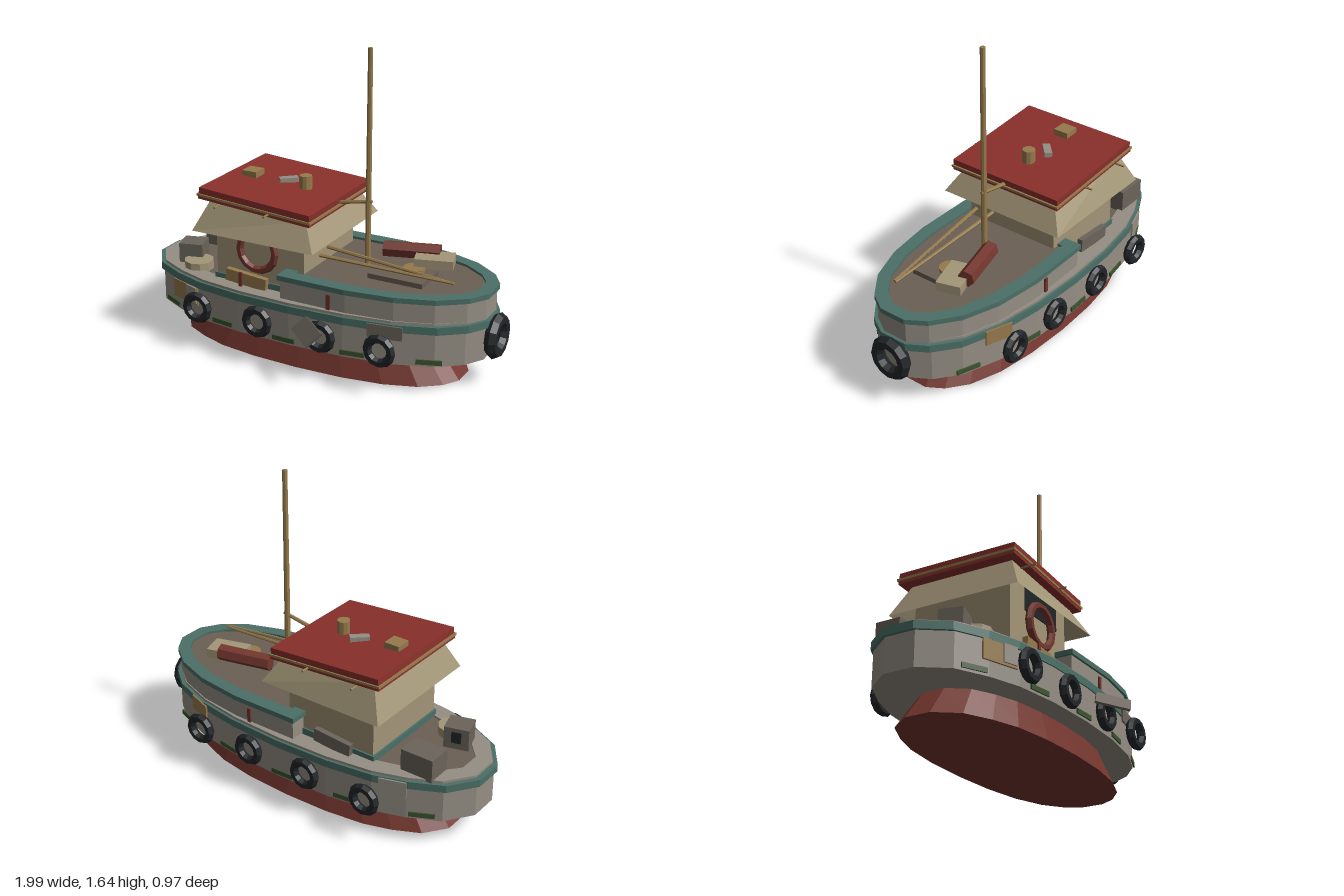
import * as THREE from 'three';

const ZC = -0.053; // centre line of the boat
const mat = (name, color, side = THREE.FrontSide) => {
  const m = new THREE.MeshStandardMaterial({ color, side });
  m.name = name;
  return m;
};

// [x, half width] stations, stern to bow
const HULL = [[-0.98, 0.08], [-0.88, 0.22], [-0.72, 0.3], [-0.55, 0.355], [-0.3, 0.388], [0, 0.397],
  [0.3, 0.382], [0.55, 0.342], [0.75, 0.27], [0.87, 0.175], [0.93, 0.075]];
const FORE = [[-0.07, 0.358], [0.3, 0.36], [0.55, 0.328], [0.74, 0.262], [0.87, 0.165], [0.93, 0.07]];

// Half width of the hull and its slope at x
function station(x) {
  let i = 0;
  while (i < HULL.length - 2 && HULL[i + 1][0] < x) i++;
  const [a, b] = [HULL[i], HULL[i + 1]];
  const slope = (b[1] - a[1]) / (b[0] - a[0]);
  return { half: a[1] + slope * (x - a[0]), slope };
}

// Closed plan outline, scaled about its middle
function outline(stations, sx = 1, sz = 1, dx = 0) {
  const mid = (stations[0][0] + stations.at(-1)[0]) / 2;
  const side = (s) => stations.map(([x, h]) => new THREE.Vector2(mid + dx + (x - mid) * sx, s * h * sz));
  return [...side(-1), ...side(1).reverse()];
}

// Plan outline raised from y0 to y1, optionally with a hole
function slab(points, y0, y1, hole) {
  const shape = new THREE.Shape(points);
  if (hole) shape.holes.push(new THREE.Path(hole));
  return new THREE.ExtrudeGeometry(shape, { depth: y1 - y0, bevelEnabled: false })
    .rotateX(-Math.PI / 2).translate(0, y0, ZC);
}

function flat(geo) {
  const g = geo.index ? geo.toNonIndexed() : geo;
  g.computeVertexNormals();
  return g;
}

export function createModel() {
  const boat = new THREE.Group();
  boat.name = 'boat';
  const hullGrey = mat('hullGrey', 0x958e84);
  const teal = mat('tealTrim', 0x4b7067);
  const red = mat('roofRed', 0x8a302b);
  const rust = mat('rustRed', 0x74362e);
  const deckBrown = mat('deckBrown', 0x6a6054);
  const cream = mat('cabinCream', 0xa39678, THREE.DoubleSide);
  const wood = mat('wood', 0x967a4c);
  const black = mat('rubberBlack', 0x212528);
  const green = mat('weedGreen', 0x3c5430);
  const crateGrey = mat('crateGrey', 0x6b645b);

  const add = (name, geo, material, parent = boat) => {
    const m = new THREE.Mesh(geo, material);
    m.name = name;
    parent.add(m);
    return m;
  };
  const box = (name, size, pos, material, yaw = 0, parent = boat) => {
    const m = add(name, new THREE.BoxGeometry(...size), material, parent);
    m.position.set(...pos);
    m.rotation.y = yaw;
    return m;
  };
  const rod = (name, a, b, r0, r1, material, sides = 6) => {
    const p = new THREE.Vector3(...a), q = new THREE.Vector3(...b);
    const m = add(name, flat(new THREE.CylinderGeometry(r1, r0, p.distanceTo(q), sides)), material);
    m.position.copy(p).lerp(q, 0.5);
    m.quaternion.setFromUnitVectors(new THREE.Vector3(0, 1, 0), q.sub(p).normalize());
    return m;
  };
  // Plate lying along the side of the hull
  const hullPlate = (name, x, side, w, h, y, material, out = 0.003) => {
    const { half, slope } = station(x);
    box(name, [w, h, 0.009], [x, y, ZC + side * (half + out)], material, -Math.atan(side * slope));
  };

  // Flared underwater hull
  const keel = slab(outline(HULL), 0, 0.157);
  const kp = keel.attributes.position;
  for (let i = 0; i < kp.count; i++) {
    const low = kp.getY(i) < 0.05;
    kp.setX(i, -0.015 + (kp.getX(i) + 0.025) * (low ? 0.853 : 0.725));
    kp.setZ(i, ZC + (kp.getZ(i) - ZC) * (low ? 0.835 : 0.7));
  }
  add('lowerHull', flat(keel), rust);

  // Main hull, rubbing strake, gunwale and aft deck
  add('hull', slab(outline(HULL), 0.155, 0.362), hullGrey);
  add('strake', slab(outline(HULL, 1.018, 1.018), 0.33, 0.37), teal);
  add('gunwale', slab(outline(HULL, 0.99, 0.985), 0.365, 0.383, outline(HULL, 0.9, 0.74)), hullGrey);
  add('aftDeck', slab(outline(HULL, 0.91, 0.76), 0.365, 0.373), deckBrown);

  // Raised foredeck with its rail
  add('forecastle', slab(outline(FORE), 0.365, 0.487), hullGrey);
  add('foredeck', slab(outline(FORE, 0.96, 0.9), 0.48, 0.497), deckBrown);
  add('foredeckRail', slab(outline(FORE, 1.025, 1.035), 0.483, 0.51, outline(FORE, 0.89, 0.83)), teal);

  // Cabin walls, base strip and windows
  box('cabin', [0.52, 0.43, 0.54], [-0.24, 0.585, ZC], cream);
  box('cabinBase', [0.54, 0.035, 0.56], [-0.24, 0.392, ZC], teal);
  box('frontWindow', [0.008, 0.13, 0.4], [0.021, 0.69, ZC], black);
  for (const s of [-1, 1]) box('sideWindow', [0.3, 0.13, 0.008], [-0.22, 0.69, ZC + s * 0.271], black);

  // Flared open skirt under the roof
  const skirt = new THREE.BoxGeometry(1, 1, 1);
  skirt.setIndex([...skirt.index.array].filter((_, i) => i < 12 || i >= 24));
  const sp = skirt.attributes.position;
  for (let i = 0; i < sp.count; i++) {
    const top = sp.getY(i) > 0, fore = sp.getX(i) > 0, s = Math.sign(sp.getZ(i));
    if (top) sp.setXYZ(i, fore ? 0.04 : -0.51, fore ? 0.79 : 0.83, ZC + s * 0.285);
    else sp.setXYZ(i, fore ? 0.12 : -0.59, 0.655, ZC + s * 0.365);
  }
  add('cabinSkirt', flat(skirt), cream);

  // Tilted layered roof
  const roof = new THREE.Group();
  roof.name = 'roof';
  roof.position.set(-0.24, 0.837, ZC);
  roof.rotation.z = -0.068;
  boat.add(roof);
  box('roofTop', [0.65, 0.034, 0.66], [0, 0.01, 0], red, 0, roof);
  box('roofBatten', [0.668, 0.012, 0.675], [0, -0.012, 0], wood, 0, roof);
  box('roofBase', [0.655, 0.018, 0.665], [0, -0.025, 0], red, 0, roof);
  for (const x of [-0.44, -0.15]) rod('roofBeam', [x, 0.81, 0.325], [x, 0.81, -0.43], 0.006, 0.006, wood);
  box('roofHatch', [0.085, 0.04, 0.085], [-0.44, 0.888, -0.055], wood);
  box('roofVent', [0.1, 0.03, 0.04], [-0.24, 0.872, -0.085], hullGrey, 0.75);
  rod('chimney', [-0.12, 0.84, -0.055], [-0.12, 0.925, -0.055], 0.034, 0.034, wood, 10);

  // Mast, boom and loose poles
  rod('mast', [0.245, 0.495, ZC], [0.245, 1.637, ZC], 0.016, 0.013, wood, 8);
  rod('boom', [0.06, 0.81, ZC], [0.265, 0.847, ZC], 0.011, 0.009, wood);
  rod('pole', [0.06, 0.596, 0.04], [0.78, 0.548, 0.07], 0.01, 0.007, wood);
  rod('pole', [0.07, 0.586, 0.14], [0.78, 0.552, 0.076], 0.01, 0.007, wood);

  // Foredeck cargo
  box('deckHatch', [0.3, 0.03, 0.2], [0.47, 0.508, 0], deckBrown);
  rod('ropeCoil', [0.51, 0.5, -0.05], [0.51, 0.54, -0.05], 0.058, 0.058, wood, 12);
  rod('barrel', [0.297, 0.572, -0.135], [0.583, 0.577, -0.21], 0.044, 0.044, rust, 6);
  box('foredeckCrate', [0.2, 0.05, 0.13], [0.58, 0.555, -0.145], cream, 0.29);

  // Tyre fenders along the sides and at the bow
  const tyre = flat(new THREE.TorusGeometry(0.0645, 0.0235, 6, 12));
  for (const x of [-0.545, -0.18, 0.185, 0.515]) {
    for (const s of [-1, 1]) add('sideTyre', tyre, black).position.set(x, 0.247, ZC + s * 0.408);
  }
  const bowTyre = add('bowTyre', flat(new THREE.TorusGeometry(0.086, 0.034, 6, 12)), black);
  bowTyre.position.set(0.966, 0.262, ZC);
  bowTyre.rotation.y = Math.PI / 2;

  // Life ring on the cabin wall
  add('lifeRing', flat(new THREE.TorusGeometry(0.105, 0.021, 6, 14)), rust).position.set(-0.245, 0.58, 0.232);

  // Weed marks and repair patches on the hull
  for (const s of [-1, 1]) {
    for (const x of [-0.79, -0.41, -0.03, 0.35, 0.725]) hullPlate('weedMark', x, s, 0.13, 0.025, 0.18, green);
  }
  hullPlate('woodPatch', -0.67, 1, 0.2, 0.1, 0.278, wood, 0.008);
  hullPlate('greyPatch', -0.62, 1, 0.08, 0.09, 0.285, hullGrey, 0.016);
  hullPlate('sidePatch', 0.52, 1, 0.18, 0.07, 0.33, crateGrey, 0.014);
  hullPlate('woodPatch', 0.57, -1, 0.15, 0.08, 0.33, wood, 0.014);
  hullPlate('greyPatch', -0.66, -1, 0.14, 0.09, 0.32, hullGrey, 0.014);
  for (const s of [-1, 1]) box('post', [0.02, 0.085, 0.015], [0.21, 0.42, ZC + s * 0.362], rust);

  // Boards leaning beside the cabin
  box('leaningBoard', [0.24, 0.065, 0.03], [-0.3, 0.42, 0.25], wood).rotation.z = -0.08;
  box('boardPost', [0.018, 0.08, 0.01], [-0.325, 0.42, 0.272], rust);
  box('leaningBoard', [0.22, 0.07, 0.03], [-0.28, 0.42, -0.355], crateGrey).rotation.z = 0.08;

  // Stern cargo
  box('sternCrate', [0.18, 0.125, 0.135], [-0.74, 0.435, -0.238], crateGrey);
  box('sternLocker', [0.13, 0.12, 0.12], [-0.745, 0.43, 0.075], crateGrey, 0.28);
  box('lockerOpening', [0.05, 0.06, 0.008], [-0.763, 0.44, 0.015], black, 0.28);
  rod('ropeTub', [-0.67, 0.372, 0.14], [-0.67, 0.42, 0.14], 0.08, 0.08, cream, 10);

  // Loose plank hanging over the side
  const u = new THREE.Vector3(0.148, -0.018, 0.115), v = new THREE.Vector3(0.07, 0.077, -0.03);
  const n = v.clone().cross(u).normalize().multiplyScalar(0.012);
  const plank = new THREE.BoxGeometry(1, 1, 1)
    .applyMatrix4(new THREE.Matrix4().makeBasis(u, n, v).setPosition(0.145, 0.29, 0.415));
  add('hangingPlank', flat(plank), crateGrey);

  return boat;
}
